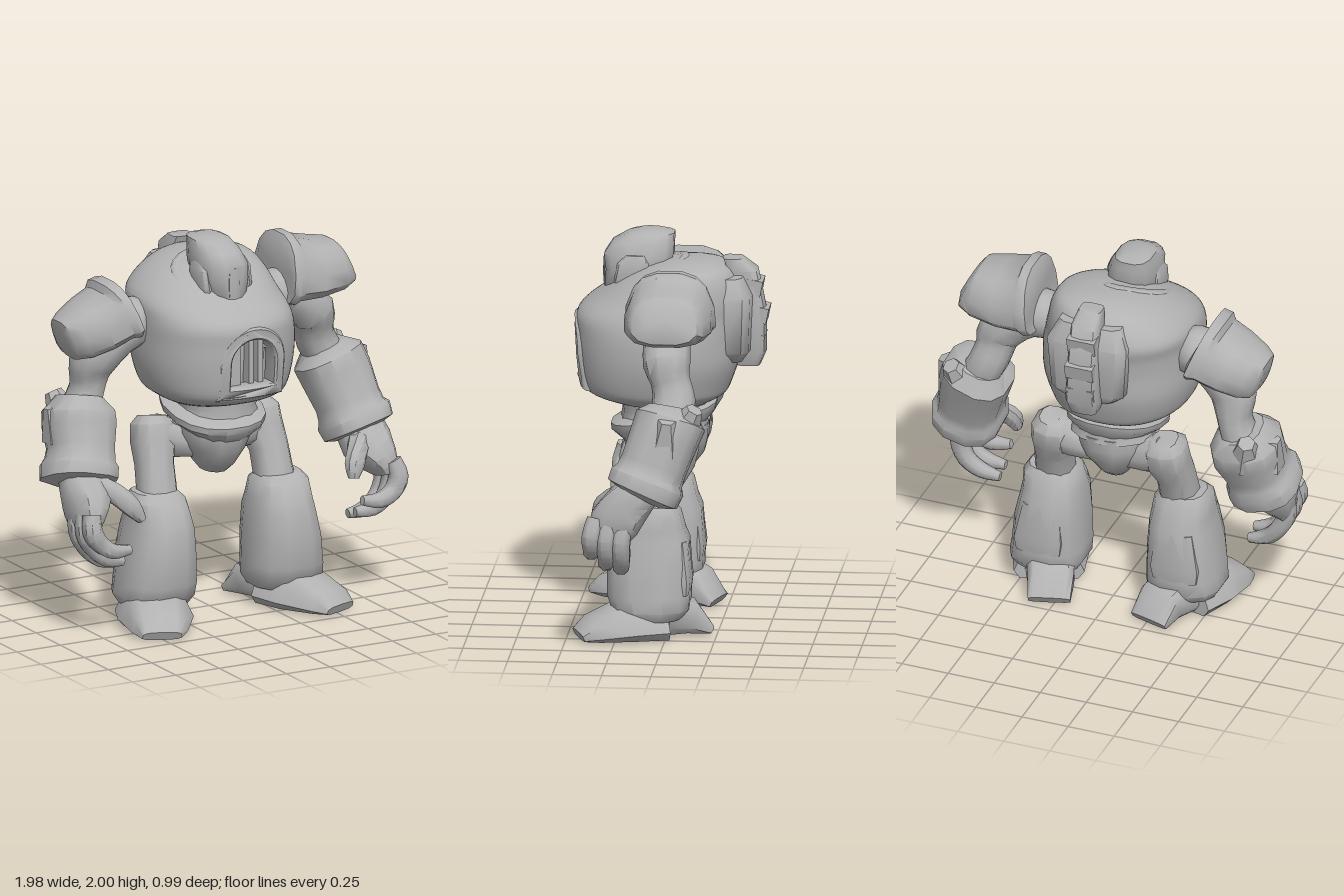
import * as THREE from 'three';
import { toCreasedNormals } from 'three/addons/utils/BufferGeometryUtils.js';

const grey = new THREE.MeshStandardMaterial({ color: 0xb2b2b2 });
grey.name = 'plain grey';

const V = (x, y, z) => new THREE.Vector3(x, y, z);
const Y = V(0, 1, 0), Z = V(0, 0, 1);

function add(parent, name, geo, crease = 0.8) {
  const mesh = new THREE.Mesh(toCreasedNormals(geo, crease), grey);
  mesh.name = name;
  parent.add(mesh);
  return mesh;
}

// Skin over cross-sections [x, y, z, halfU, halfV]; level rings stay horizontal, others follow the path.
function loft(rings, { sides = 10, power = 0.85, ref = Z, level = false, warp = null } = {}) {
  const pos = [], idx = [], n = rings.length;
  const centre = i => V(...rings[i].slice(0, 3));
  const bend = a => Math.sign(a) * Math.abs(a) ** power;
  const push = p => {
    if (warp) warp(p);
    pos.push(p.x, Math.max(0, p.y), p.z);
  };
  for (let i = 0; i < n; i++) {
    const c = centre(i);
    const t = level ? V(0, Math.sign(rings[n - 1][1] - rings[0][1]), 0)
      : centre(Math.min(i + 1, n - 1)).sub(centre(Math.max(i - 1, 0))).normalize();
    const v = ref.clone().addScaledVector(t, -t.dot(ref)).normalize();
    const u = t.clone().cross(v);
    for (let j = 0; j < sides; j++) {
      const a = (j + 0.5) / sides * Math.PI * 2;
      push(c.clone().addScaledVector(u, bend(Math.cos(a)) * rings[i][3])
        .addScaledVector(v, bend(Math.sin(a)) * rings[i][4]));
    }
  }
  for (let i = 0; i < n - 1; i++) for (let j = 0; j < sides; j++) {
    const k = (j + 1) % sides, a = i * sides;
    idx.push(a + j, a + sides + j, a + k, a + k, a + sides + j, a + sides + k);
  }
  for (const i of [0, n - 1]) {
    const mid = pos.length / 3, a = i * sides;
    push(centre(i));
    for (let j = 0; j < sides; j++) {
      const k = (j + 1) % sides;
      if (i === 0) idx.push(mid, a + j, a + k); else idx.push(mid, a + k, a + j);
    }
  }
  const geo = new THREE.BufferGeometry();
  geo.setAttribute('position', new THREE.Float32BufferAttribute(pos, 3));
  geo.setIndex(idx);
  return geo;
}

// Smooth subdivision of a list of cross-sections
function refine(rings, steps) {
  const out = [], at = i => rings[Math.max(0, Math.min(rings.length - 1, i))];
  for (let i = 0; i < rings.length - 1; i++) for (let s = 0; s < steps; s++) {
    const t = s / steps;
    out.push(rings[i].map((b, k) => {
      const a = at(i - 1)[k], c = at(i + 1)[k], d = at(i + 2)[k];
      return b + t / 2 * (c - a + t * (2 * a - 5 * b + 4 * c - d + t * (3 * (b - c) + d - a)));
    }));
  }
  return [...out, at(rings.length)];
}

function box(parent, name, w, h, d, x, y, z, rx = 0, ry = 0, rz = 0) {
  const mesh = add(parent, name, new THREE.BoxGeometry(w, h, d));
  mesh.position.set(x, y, z);
  mesh.rotation.set(rx, ry, rz);
}

function archPath(path, r, base, top) {
  path.moveTo(-r, base);
  for (let i = 1; i < 6; i++) path.lineTo(-r + r * i / 3, base);
  path.lineTo(r, base);
  path.lineTo(r, top);
  path.absarc(0, top, r, 0, Math.PI, false);
  path.closePath();
  return path;
}

function buildTorso(g) {
  // Barrel chest, with the hatch opening pushed inward
  const rings = [[-.02, 1.14, .06, .25, .25], [-.02, 1.18, .08, .32, .34], [-.03, 1.23, .09, .36, .38],
    [-.03, 1.36, .08, .395, .41], [-.03, 1.5, .08, .4, .415], [-.04, 1.6, .07, .39, .415],
    [-.05, 1.69, .01, .37, .37], [-.02, 1.78, -.04, .31, .29], [.01, 1.84, -.08, .23, .2], [.01, 1.87, -.1, .12, .1]];
  const dent = p => {
    const dx = p.x + .01, dy = Math.max(0, p.y - 1.4);
    if (p.z > .3 && p.y > 1.25 && dx * dx + dy * dy < .0215) p.z -= .13;
  };
  add(g, 'torso', loft(refine(rings, 4), { sides: 64, power: .88, level: true, warp: dent }), 1);

  // Arched hatch frame, bowed to follow the chest, and the slats within it
  const arch = archPath(new THREE.Shape(), .18, 1.22, 1.4);
  arch.holes.push(archPath(new THREE.Path(), .135, 1.265, 1.4));
  const frameGeo = new THREE.ExtrudeGeometry(arch,
    { depth: .1, bevelEnabled: true, bevelSize: .01, bevelThickness: .012, bevelSegments: 1, curveSegments: 10 });
  const p = frameGeo.attributes.position;
  for (let i = 0; i < p.count; i++)
    p.setZ(i, p.getZ(i) - .9 * p.getX(i) ** 2 - .8 * Math.max(0, 1.4 - p.getY(i)) ** 2);
  add(g, 'hatchFrame', frameGeo).position.set(-.01, 0, .39);
  for (const [x, w] of [[-.08, .06], [.01, .025], [.065, .03]]) box(g, 'hatchSlat', w, .29, .06, x, 1.4, .385);

  // Collar around the neck
  const collar = add(g, 'collar', new THREE.TorusGeometry(.195, .035, 8, 24));
  collar.position.set(-.045, 1.765, .125);
  collar.rotation.x = Math.PI / 2 + .42;

  // Backpack: side vents, ribbed spine and a lower bulge
  add(g, 'backpack', loft([[0, 1.36, -.28, .13, .08], [0, 1.42, -.3, .2, .1], [0, 1.7, -.31, .22, .1],
    [0, 1.8, -.28, .17, .08]], { power: .5, level: true }));
  add(g, 'backpackSpine', loft([[0, 1.33, -.38, .07, .06], [0, 1.4, -.39, .09, .08], [0, 1.62, -.39, .08, .08],
    [0, 1.82, -.35, .075, .08], [0, 1.88, -.3, .06, .05]], { power: .5, level: true }));
  for (const [y, z] of [[1.46, -.4], [1.6, -.42], [1.74, -.39]])
    box(g, 'spineRib', .15, .08, .12, 0, y, z, -.2);
}

function buildHead(g) {
  add(g, 'neck', loft([[-.05, 1.6, .14, .14, .14], [-.05, 1.76, .15, .12, .12]], { level: true }));
  add(g, 'head', loft([[-.045, 1.65, .24, .05, .08], [-.045, 1.7, .22, .095, .135], [-.05, 1.8, .19, .13, .16],
    [-.055, 1.88, .18, .13, .18], [-.065, 1.94, .16, .115, .16], [-.075, 1.985, .12, .095, .12], [-.075, 2.0, .12, .06, .06]],
    { sides: 12, power: .75, level: true }), .9);
  // Face ridge and low cheek guards
  add(g, 'nose', loft([[-.05, 1.71, .34, .03, .02], [-.05, 1.78, .34, .035, .025], [-.05, 1.87, .34, .03, .02]], { sides: 6, level: true }));
  for (const s of [-1, 1])
    add(g, 'cheekGuard', loft([[-.05 + s * .1, 1.69, .22, .03, .06], [-.05 + s * .115, 1.76, .21, .03, .09],
      [-.05 + s * .12, 1.85, .2, .025, .08], [-.05 + s * .11, 1.89, .19, .02, .05]], { level: true, power: .7 }));
}

function buildHips(g) {
  add(g, 'waist', loft([[0, 1.2, .03, .24, .24], [0, 1.15, .04, .23, .23], [0, 1.09, .05, .2, .21],
    [0, 1.0, .05, .23, .23]], { sides: 14, level: true }));
  // Belt dips at the front and rides up behind
  const dip = p => { p.y -= (p.z - .05) * .22; };
  add(g, 'belt', loft([[-.01, 1.1, .05, .2, .22], [-.01, 1.075, .05, .255, .27], [-.01, 1.04, .05, .25, .265],
    [0, .97, .05, .17, .2]], { sides: 16, level: true, warp: dip }));
  add(g, 'pelvis', loft([[0, 1.02, .04, .2, .22], [-.01, .95, .04, .19, .22], [-.01, .87, .04, .15, .2],
    [-.01, .78, .05, .09, .14], [-.01, .74, .05, .06, .09]], { sides: 12, level: true }));
}

function buildLeg(s) {
  const leg = new THREE.Group();
  const m = rings => rings.map(([x, ...rest]) => [s * x, ...rest]);
  add(leg, 'hipJoint', loft(m([[.08, .88, 0, .08, .09], [.2, .91, -.02, .1, .1], [.3, .94, -.04, .1, .1]])));
  add(leg, 'thigh', loft(m([[.3, 1.03, -.06, .07, .07], [.305, .99, -.05, .105, .11], [.31, .9, -.03, .11, .11],
    [.33, .8, .02, .095, .1], [.34, .6, .08, .1, .1]]), { power: .75 }));
  add(leg, 'greave', loft(m([[.36, .68, .07, .11, .11], [.355, .64, .08, .145, .15], [.35, .56, .09, .155, .18],
    [.35, .5, .09, .165, .205], [.36, .37, .09, .185, .215], [.365, .22, .09, .195, .215], [.37, .15, .08, .2, .2],
    [.37, .1, .08, .17, .16]]), { sides: 12, power: .75, level: true }));
  add(leg, 'calfPlate', loft(m([[.36, .5, -.06, .1, .05], [.37, .3, -.09, .13, .04], [.37, .23, -.09, .12, .03]]),
    { power: .6, level: true }));
  // Splayed toe wedge and separate heel wedge, both broader at the sole
  const spread = p => {
    const w = .92 * (p.x - s * .36) * s - .39 * (p.z - .05), k = .2 - 2.6 * p.y;
    p.x += s * .92 * w * k;
    p.z -= .39 * w * k;
  };
  add(leg, 'toe', loft(m([[.36, .1, .03, .17, .11], [.42, .095, .2, .185, .1], [.49, .055, .37, .13, .06],
    [.515, .025, .435, .09, .025]]), { power: .6, ref: Y, warp: spread }));
  add(leg, 'heel', loft(m([[.35, .12, .02, .13, .12], [.3, .09, -.1, .12, .09], [.27, .025, -.2, .11, .025]]),
    { power: .55, ref: Y }));
  return leg;
}

function buildArm(pose) {
  const arm = new THREE.Group();
  const ball = add(arm, 'shoulderJoint', new THREE.SphereGeometry(.13, 12, 8));
  ball.position.set(...pose.joint);
  // Pad cross-section is an arch: broad below, narrow on top
  const [px, py, slope] = pose.padLine;
  const flare = p => { p.z = -.02 + (p.z + .02) * (1 - 1.1 * (p.y - py - (p.x - px) * slope)); };
  add(arm, 'shoulderPad', loft(pose.pad, { sides: 14, power: .72, warp: flare }));
  add(arm, 'upperArm', loft(refine(pose.upper, 2), { power: .85 }));
  add(arm, 'forearm', loft(pose.forearm, { sides: 12, power: .8 }));
  for (const [x, y, z, rx, rz] of pose.spikes) {
    const spike = add(arm, 'elbowGuard', new THREE.CylinderGeometry(.045, .1, .17, 6));
    spike.position.set(x, y, z);
    spike.rotation.set(rx, 0, rz);
  }
  add(arm, 'palm', loft(refine(pose.palm, 2), { power: .8 }));
  // Three curled fingers side by side in depth, plus the thumb
  for (let f = 0; f < 3; f++) {
    const lift = f * f * .02;
    add(arm, 'finger', loft(refine(pose.finger.map(([x, y, z, r], i) =>
      [x, y + lift * i / 3, z + (f - 1) * .075, r, r]), 3), { sides: 8 }));
  }
  add(arm, 'thumb', loft(refine(pose.thumb, 2), { sides: 8 }));
  return arm;
}

const leftPose = {
  joint: [.39, 1.59, 0],
  padLine: [.38, 1.72, 0],
  pad: [[.385, 1.725, -.02, .13, .18], [.39, 1.725, -.02, .18, .22], [.43, 1.72, -.02, .185, .225], [.455, 1.715, -.02, .165, .215],
    [.57, 1.705, -.02, .15, .215], [.7, 1.705, -.02, .13, .19], [.745, 1.72, -.02, .12, .165], [.765, 1.73, -.02, .07, .1]],
  upper: [[.38, 1.6, 0, .11, .12], [.5, 1.54, -.01, .11, .12], [.6, 1.46, -.02, .12, .12], [.62, 1.38, -.04, .1, .1],
    [.65, 1.29, -.06, .1, .11], [.7, 1.2, -.05, .1, .11]],
  forearm: [[.69, 1.26, -.06, .11, .12], [.71, 1.2, -.05, .18, .18], [.74, 1.12, -.02, .18, .175], [.78, .98, .03, .165, .17],
    [.79, .93, .05, .17, .175], [.8, .9, .06, .19, .195], [.815, .84, .085, .18, .19], [.82, .82, .095, .11, .12]],
  spikes: [[.79, 1.21, -.14, -.5, -.25], [.86, 1.16, -.04, -.1, -.3]],
  palm: [[.81, .86, .1, .12, .11], [.82, .78, .16, .13, .12], [.86, .7, .22, .09, .13], [.88, .64, .24, .05, .11]],
  finger: [[.88, .72, .24, .045], [.905, .61, .26, .05], [.87, .51, .26, .046], [.79, .45, .27, .04], [.69, .435, .27, .024]],
  thumb: [[.78, .82, .16, .06, .06], [.71, .78, .26, .055, .05], [.665, .72, .31, .05, .045], [.65, .66, .33, .025, .03]]
};

const rightPose = {
  joint: [-.46, 1.56, 0],
  padLine: [-.5, 1.655, .45],
  pad: [[-.505, 1.655, -.03, .11, .18], [-.515, 1.65, -.03, .155, .23], [-.545, 1.64, -.03, .16, .235], [-.57, 1.62, -.03, .135, .22],
    [-.67, 1.575, -.03, .135, .2], [-.77, 1.53, -.03, .125, .16], [-.82, 1.51, -.03, .11, .12], [-.835, 1.505, -.03, .06, .07]],
  upper: [[-.42, 1.56, 0, .12, .12], [-.54, 1.5, 0, .11, .12], [-.65, 1.4, -.02, .12, .12], [-.67, 1.32, -.04, .105, .1],
    [-.68, 1.23, -.05, .085, .1], [-.72, 1.12, -.05, .1, .11]],
  forearm: [[-.72, 1.19, -.06, .11, .12], [-.735, 1.12, -.04, .18, .18], [-.74, 1.05, -.02, .185, .18], [-.76, .95, .03, .165, .17],
    [-.775, .89, .05, .17, .175], [-.785, .86, .06, .19, .195], [-.8, .8, .085, .19, .19], [-.805, .78, .095, .11, .12]],
  spikes: [[-.78, 1.12, -.15, -.5, .2], [-.86, 1.08, -.04, -.1, .25]],
  palm: [[-.79, .82, .1, .12, .11], [-.8, .74, .16, .13, .12], [-.83, .66, .22, .09, .13], [-.85, .59, .25, .05, .11]],
  finger: [[-.86, .68, .25, .045], [-.865, .57, .27, .05], [-.82, .475, .27, .046], [-.75, .405, .28, .04], [-.655, .375, .28, .024]],
  thumb: [[-.77, .8, .16, .06, .06], [-.68, .75, .25, .055, .05], [-.61, .68, .29, .05, .045], [-.56, .61, .3, .025, .03]]
};

export function createModel() {
  const model = new THREE.Group();
  model.name = 'armouredGiant';
  const group = (name, g = new THREE.Group()) => { g.name = name; model.add(g); return g; };
  buildTorso(group('torsoGroup'));
  buildHead(group('headGroup'));
  buildHips(group('hipGroup'));
  group('leftLeg', buildLeg(1));
  group('rightLeg', buildLeg(-1));
  group('leftArm', buildArm(leftPose));
  group('rightArm', buildArm(rightPose));
  return model;
}
